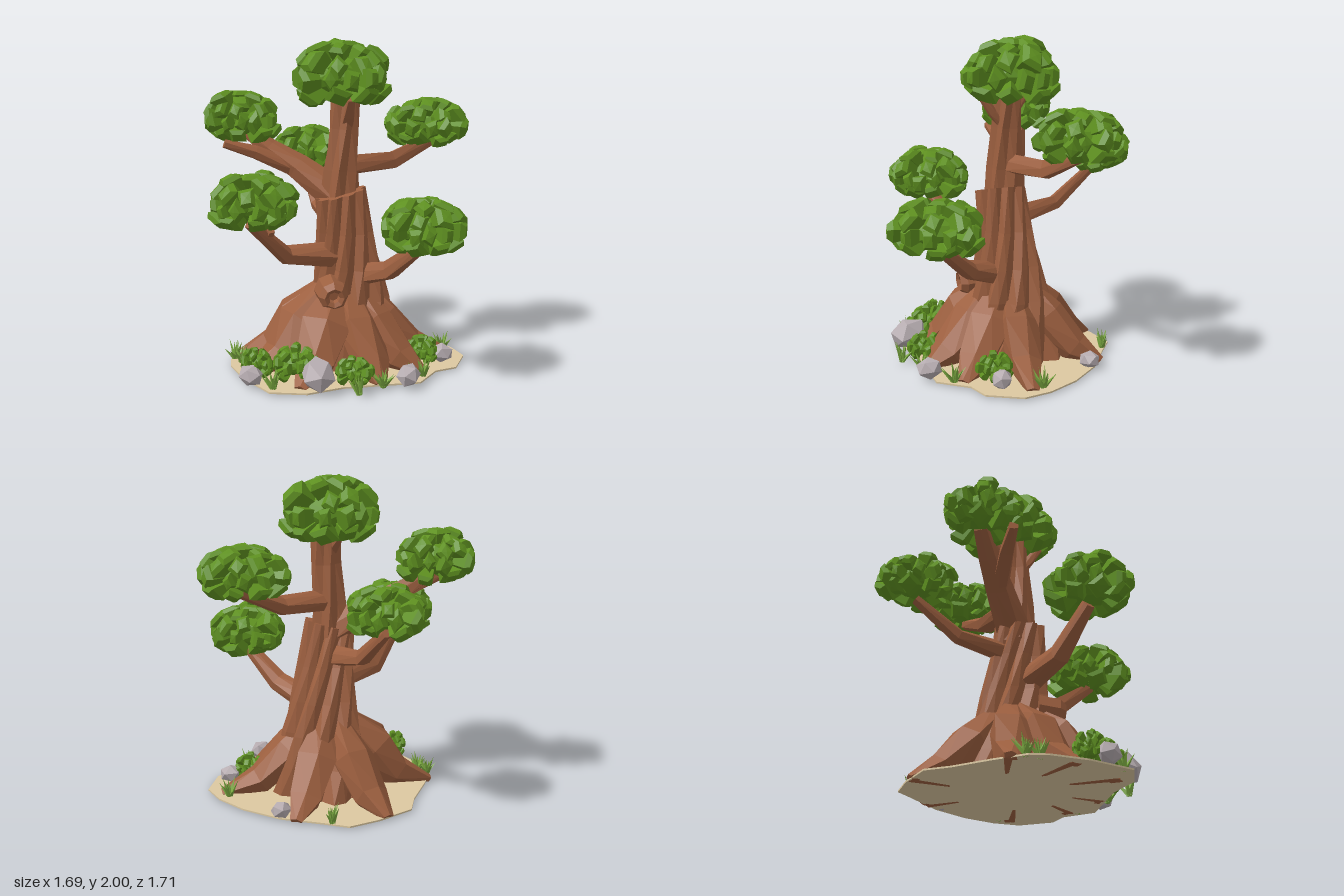
import * as THREE from 'three';
import { mergeGeometries } from 'three/addons/utils/BufferGeometryUtils.js';

const V = (x, y, z) => new THREE.Vector3(x, y, z);

function mat(name, color) {
  const m = new THREE.MeshStandardMaterial({ color });
  m.name = name;
  return m;
}

function seeded(seed) {
  let s = seed * 7919 + 17;
  return () => (s = (s * 16807) % 2147483647) / 2147483647;
}

// Faceted skin over a stack of rings, closed at both ends.
function loft(rings) {
  const out = [];
  const tri = (...pts) => pts.forEach(p => out.push(p.x, p.y, p.z));
  const n = rings[0].length;
  const middle = r => r.reduce((s, p) => s.add(p), V(0, 0, 0)).divideScalar(n);
  const last = rings[rings.length - 1], c0 = middle(rings[0]), c1 = middle(last);
  for (let j = 0; j < n; j++) {
    const k = (j + 1) % n;
    for (let i = 0; i < rings.length - 1; i++) {
      const a = rings[i], b = rings[i + 1];
      tri(a[j], a[k], b[j]);
      tri(a[k], b[k], b[j]);
    }
    tri(c0, rings[0][k], rings[0][j]);
    tri(c1, last[j], last[k]);
  }
  const g = new THREE.BufferGeometry();
  g.setAttribute('position', new THREE.Float32BufferAttribute(out, 3));
  g.computeVertexNormals();
  return g;
}

// Angular tapered limb with one ring per [x, y, z, radius] station.
function limb(stations, sides = 7, ridge = 0.15, twist = 0.4) {
  const pts = stations.map(s => V(s[0], s[1], s[2]));
  const curve = new THREE.CatmullRomCurve3(pts);
  const whole = pts[pts.length - 1].clone().sub(pts[0]).normalize();
  const ref = Math.abs(whole.y) > 0.85 ? V(0, 0, 1) : V(0, 1, 0);
  return loft(stations.map(([, , , r], i) => {
    const t = i / (stations.length - 1), T = curve.getTangent(t);
    const N = ref.clone().cross(T).normalize(), B = T.clone().cross(N);
    return Array.from({ length: sides }, (_, j) => {
      const a = j / sides * Math.PI * 2 + t * twist, q = r * (j % 2 ? 1 - ridge : 1 + ridge * 0.5);
      const p = pts[i].clone().addScaledVector(N, Math.cos(a) * q).addScaledVector(B, Math.sin(a) * q);
      p.y = Math.max(p.y, 0);
      return p;
    });
  }));
}

// Leaf crown: a core with blunt upright wedges fanning out in tiers [elevation, count, half width, stretch].
function crown(R, up, seed, tiers) {
  const rnd = seeded(seed);
  const parts = [new THREE.IcosahedronGeometry(0.56, 1)];
  for (const [elevation, count, width, stretch] of tiers) {
    const start = rnd() * 6;
    for (let i = 0; i < count; i++) {
      const a = start + (i + (rnd() - 0.5) * 0.5) / count * Math.PI * 2;
      const e = elevation + (rnd() - 0.5) * 0.2, L = 0.84 + rnd() * 0.2, w = width * (0.85 + rnd() * 0.3);
      const profile = [[0.05, 0.1], [w, L * 0.88], [w * 0.6, L], [0, L * 1.01]];
      const g = new THREE.LatheGeometry(profile.map(p => new THREE.Vector2(...p)), 4).toNonIndexed();
      g.rotateY(rnd() * 6).scale(stretch, 1, 1).rotateZ(e - Math.PI / 2).rotateY(a);
      parts.push(g);
    }
  }
  const g = mergeGeometries(parts), p = g.attributes.position;
  // flatter underside
  for (let i = 0; i < p.count; i++) {
    const y = p.getY(i);
    p.setXYZ(i, p.getX(i) * R, y * up * (y < 0 ? 0.9 : 1), p.getZ(i) * R);
  }
  g.computeVertexNormals();
  return g;
}

export function createModel() {
  const root = new THREE.Group();
  root.name = 'tree';
  const bark = mat('bark brown', 0x9c5f3f), leaf = mat('leaf green', 0x5e9020);
  const grass = mat('grass green', 0x7aa840), stone = mat('stone grey', 0xb6acb0), sand = mat('sandy soil', 0xdcc8a0);
  const add = (name, geometry, material, x = 0, y = 0, z = 0) => {
    const m = new THREE.Mesh(geometry, material);
    m.name = name;
    m.position.set(x, y, z);
    root.add(m);
    return m;
  };

  // Ground plate
  const outline = [[0.72, 0], [0.75, 0.17], [0.64, 0.37], [0.5, 0.41], [0.36, 0.58], [0.1, 0.58], [-0.1, 0.58], [-0.32, 0.64],
    [-0.53, 0.58], [-0.66, 0.3], [-0.71, 0.08], [-0.7, -0.03], [-0.58, -0.2], [-0.42, -0.4], [-0.34, -0.54], [-0.1, -0.62],
    [0.1, -0.65], [0.22, -0.56], [0.45, -0.4], [0.62, -0.2]];
  const ground = new THREE.ExtrudeGeometry(new THREE.Shape(outline.map(([x, z]) => new THREE.Vector2(x, -z))),
    { depth: 0.01, bevelEnabled: false });
  add('ground', ground.rotateX(-Math.PI / 2), sand, 0, 0.004, 0);

  // Lower trunk: twisted ridged column [y, radius, centre x, centre z] with a slanted broken top
  const column = [[0.01, 0.33, 0.03, 0], [0.2, 0.28, 0.04, 0], [0.4, 0.235, 0.05, 0.01], [0.6, 0.2, 0.035, 0.02],
    [0.82, 0.17, 0.01, 0.035], [1.06, 0.15, -0.02, 0.05]];
  add('lowerTrunk', loft(column.map(([y, r, cx, cz]) => Array.from({ length: 27 }, (_, j) => {
    const a = j / 27 * Math.PI * 2 + y * 1.3;
    const q = r * [1.05, 1, 0.84][j % 3], x = Math.cos(a) * q;
    return V(cx + x, y > 1 ? y + x * 0.25 : y, cz - Math.sin(a) * q);
  }))), bark);
  add('upperTrunk', limb([[-0.02, 0.92, 0.02, 0.125], [-0.01, 1.2, 0.02, 0.108], [0.01, 1.45, 0.02, 0.088],
    [0.02, 1.66, 0.01, 0.085]], 12, 0.15, 0.7), bark);

  // Roots: [angle from +x towards +z in degrees, reach, shoulder size, shoulder distance]
  const roots = [[8, 0.68, 0.13, 0.24], [46, 0.6, 0.14, 0.24], [78, 0.58, 0.14, 0.24], [122, 0.66, 0.16, 0.28],
    [158, 0.66, 0.15, 0.29], [190, 0.66, 0.14, 0.29], [255, 0.62, 0.14, 0.25], [308, 0.6, 0.13, 0.25]];
  for (const [deg, reach, s, shoulder] of roots) {
    const c = Math.cos(deg * Math.PI / 180), z = Math.sin(deg * Math.PI / 180);
    const path = [[0.1, 0.46, 0.07], [shoulder, 0.27, s], [0.44, 0.08, s * 0.8], [reach, 0.0, 0.04]];
    add('root', limb(path.map(([d, y, r]) => [d * c, y, d * z, r]), 6, 0.12), bark);
  }

  // Branches and twigs
  const branches = [
    [[-0.04, 1.04, 0, 0.1], [-0.25, 1.2, -0.12, 0.08], [-0.42, 1.31, -0.21, 0.062], [-0.56, 1.42, -0.28, 0.045]],
    [[-0.3, 1.2, -0.12, 0.05], [-0.52, 1.3, -0.12, 0.045], [-0.71, 1.36, -0.11, 0.03]],
    [[0.03, 1.22, 0, 0.065], [0.34, 1.23, -0.12, 0.062], [0.62, 1.35, -0.21, 0.04]],
    [[-0.06, 0.68, 0.08, 0.08], [-0.38, 0.72, 0.21, 0.062], [-0.6, 0.95, 0.34, 0.038]],
    [[-0.5, 0.83, 0.28, 0.03], [-0.48, 0.9, 0.33, 0.022]],
    [[0.09, 0.55, 0.1, 0.075], [0.23, 0.63, 0.33, 0.062], [0.38, 0.84, 0.57, 0.038]],
    [[-0.02, 0.87, -0.02, 0.075], [-0.09, 0.93, -0.34, 0.05], [-0.13, 1.14, -0.61, 0.032]],
    [[0.02, 1.46, 0.04, 0.04], [0.02, 1.54, 0.11, 0.035], [0.02, 1.64, 0.18, 0.025]],
    [[0, 1.5, 0, 0.035], [-0.03, 1.64, -0.12, 0.025]],
  ];
  for (const b of branches) add('branch', limb(b), bark);

  // Hollow cut stub on the trunk front
  const stub = new THREE.LatheGeometry([[0.1, 0], [0.09, 0.13], [0.06, 0.17], [0.035, 0.155], [0.03, 0.12], [0, 0.12]]
    .map(p => new THREE.Vector2(...p)), 8).toNonIndexed();
  stub.computeVertexNormals();
  add('cutStub', stub, bark, -0.1, 0.48, 0.13).rotation.x = Math.PI / 2 + 0.1;

  // Leaf crowns: [x, y, z, radius, height above the widest line]
  const tiers = [[-0.65, 8, 0.27, 1.4], [-0.06, 12, 0.18, 2.2], [0.5, 8, 0.22, 1.7], [1.0, 5, 0.24, 1.4], [1.5, 1, 0.3, 1.2]];
  const crowns = [[0, 1.76, -0.01, 0.32, 0.235], [-0.59, 1.49, -0.27, 0.26, 0.195], [0.585, 1.45, -0.21, 0.27, 0.185],
    [-0.585, 1.06, 0.35, 0.28, 0.195], [0.37, 0.93, 0.56, 0.28, 0.195], [-0.13, 1.25, -0.61, 0.25, 0.175]];
  crowns.forEach(([x, y, z, R, up], i) => add('leafCrown', crown(R, up, i + 1, tiers), leaf, x, y, z));

  // Bushes
  const bushes = [[-0.36, 0.12, 0.43, 0.15, 0.125], [-0.03, 0.09, 0.55, 0.115, 0.105], [0.45, 0.09, 0.25, 0.115, 0.105],
    [-0.57, 0.1, 0.33, 0.1, 0.11]];
  const bushTiers = [[-0.5, 7, 0.26, 1.3], [0.1, 10, 0.2, 1.9], [0.75, 6, 0.24, 1.4], [1.45, 1, 0.25, 1]];
  bushes.forEach(([x, y, z, R, up], i) => add('bush', crown(R, up, i + 20, bushTiers), leaf, x, y, z));

  // Rocks
  const rocks = [[-0.25, 0.105, 0.59, 0.105], [0.58, 0.07, 0.25, 0.065], [0.28, 0.07, 0.6, 0.072], [-0.62, 0.065, 0.42, 0.068],
    [0.43, 0.05, -0.37, 0.06]];
  rocks.forEach(([x, y, z, r], i) => {
    const rock = add('rock', new THREE.IcosahedronGeometry(r, 0), stone, x, y, z);
    rock.scale.set(1, 0.92, 1.2);
    rock.rotation.set(0.3, i * 1.3, 0);
  });

  // Grass tufts: thin spikes leaning outward
  const tufts = [[0.18, -0.57], [-0.03, 0.69], [0.13, 0.6], [0.65, 0.02], [-0.64, 0.04], [-0.67, -0.04], [0.4, 0.48], [-0.5, 0.53]];
  tufts.forEach(([x, z], t) => {
    const rnd = seeded(t + 50), blades = [];
    for (let i = 0; i < 12; i++) {
      const h = 0.085 + rnd() * 0.05;
      const g = new THREE.ConeGeometry(0.017, h, 3).toNonIndexed().translate(0, h / 2, 0);
      g.rotateZ(-0.15 - rnd() * 0.65).rotateY(i * 0.53 + rnd() * 0.4);
      blades.push(g);
    }
    const g = mergeGeometries(blades);
    g.computeVertexNormals();
    add('grassTuft', g, grass, x, 0.01, z);
  });
  return root;
}
